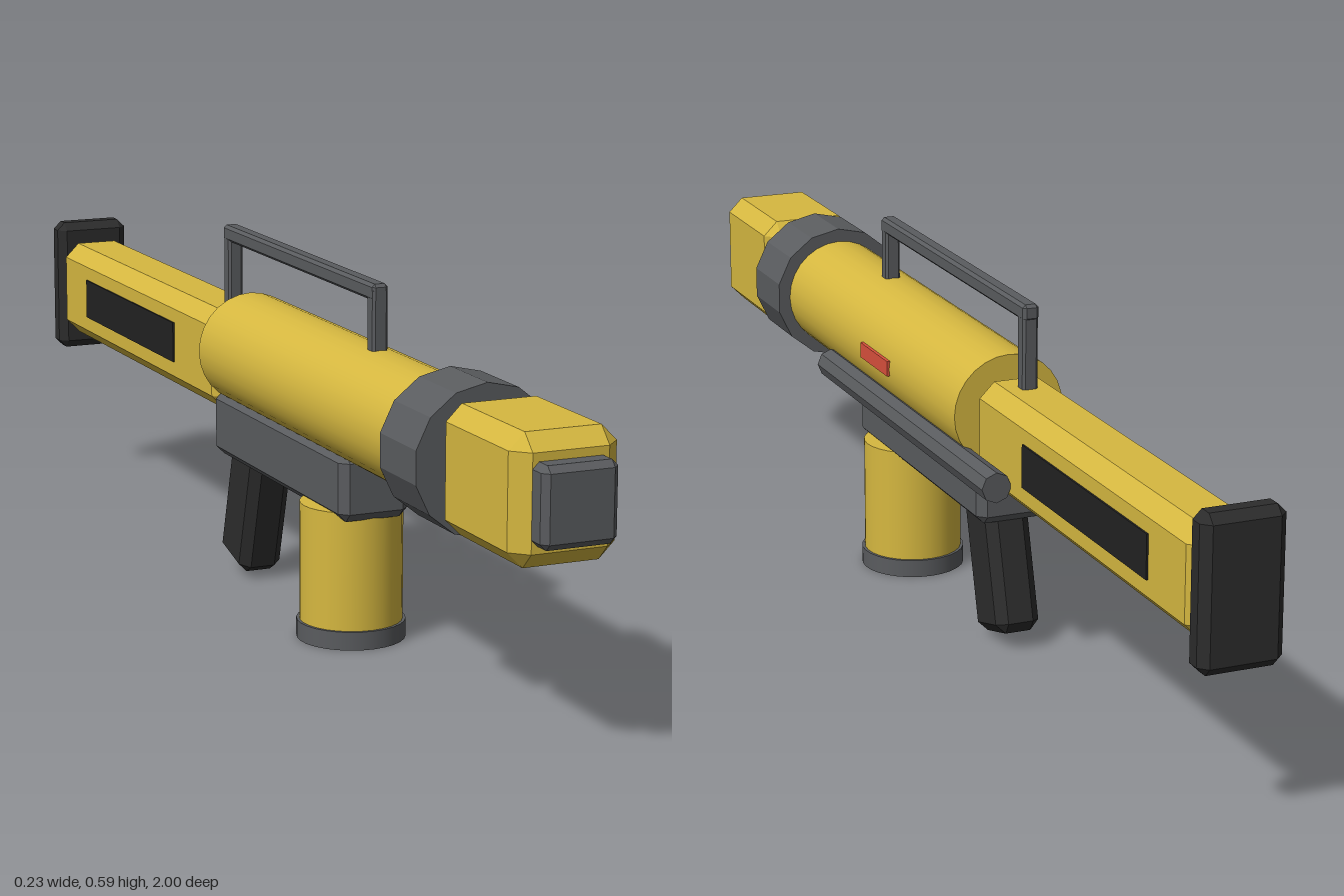
import * as THREE from 'three';
import { ConvexGeometry } from 'three/addons/geometries/ConvexGeometry.js';

const material = (color, flatShading = false) =>
  new THREE.MeshStandardMaterial({ color, flatShading });

const YELLOW = 0xd6b840, GREY = 0x5a5c5f, BLACK = 0x2c2c2c, PANEL = 0x222222, RED = 0xd9503c;

// Box with every edge cut by a flat chamfer c
function chamferBox(w, h, d, c) {
  const half = [w / 2, h / 2, d / 2], points = [];
  for (let axis = 0; axis < 3; axis++)
    for (const sx of [-1, 1]) for (const sy of [-1, 1]) for (const sz of [-1, 1]) {
      const p = [sx, sy, sz].map((s, i) => s * (half[i] - (i === axis ? 0 : c)));
      points.push(new THREE.Vector3(...p));
    }
  return new ConvexGeometry(points);
}

export function createModel() {
  const model = new THREE.Group();
  model.name = 'launcher';

  const add = (name, geometry, color, flat, x, y, z) => {
    const mesh = new THREE.Mesh(geometry, material(color, flat));
    mesh.name = name;
    mesh.position.set(x, y, z);
    model.add(mesh);
    return mesh;
  };

  // Chamfered block given by its ranges in y and z
  const block = (name, color, w, y0, y1, z0, z1, c) =>
    add(name, chamferBox(w, y1 - y0, z1 - z0, c), color, true, 0, (y0 + y1) / 2, (z0 + z1) / 2);

  // Cylinder lying along z
  const barrel = (name, color, r, sides, flat, x, y, z0, z1) => {
    const geometry = new THREE.CylinderGeometry(r, r, z1 - z0, sides).rotateX(Math.PI / 2);
    return add(name, geometry, color, flat, x, y, (z0 + z1) / 2);
  };

  // Main tube, collar and muzzle
  barrel('mainTube', YELLOW, 0.094, 28, false, 0, 0.394, -0.18, 0.65);
  barrel('collar', GREY, 0.117, 14, true, 0, 0.394, 0.585, 0.708);
  block('muzzleBlock', YELLOW, 0.17, 0.298, 0.493, 0.72, 0.965, 0.025);
  block('muzzleTip', GREY, 0.12, 0.334, 0.455, 0.92, 1, 0.01);

  // Stock with side panels and butt plate
  block('stock', YELLOW, 0.122, 0.284, 0.454, -0.96, -0.18, 0.025);
  for (const side of [-1, 1])
    add(side > 0 ? 'leftStockPanel' : 'rightStockPanel',
      new THREE.BoxGeometry(0.012, 0.07, 0.44), PANEL, true, side * 0.058, 0.37, -0.597);
  block('buttPlate', BLACK, 0.134, 0.25, 0.49, -1, -0.95, 0.014);

  // Receiver and slanted grip
  block('receiver', GREY, 0.12, 0.212, 0.322, -0.202, 0.33, 0.014);
  const grip = add('grip', chamferBox(0.075, 0.24, 0.108, 0.016), BLACK, true, 0, 0.136, -0.153);
  grip.rotation.x = 0.27;

  // Canister magazine
  add('magazine', new THREE.CylinderGeometry(0.083, 0.083, 0.205, 28), YELLOW, false, 0, 0.121, 0.235);
  add('magazineBase', new THREE.CylinderGeometry(0.088, 0.088, 0.03, 28), GREY, false, 0, 0.015, 0.235);

  // Carrying handle
  block('handleBar', GREY, 0.027, 0.565, 0.592, -0.268, 0.342, 0.005);
  block('frontHandlePost', GREY, 0.026, 0.47, 0.585, 0.317, 0.342, 0.004);
  block('rearHandlePost', GREY, 0.026, 0.44, 0.585, -0.266, -0.241, 0.004);

  // Side rod and marker, on one side only
  barrel('sideRod', GREY, 0.025, 8, true, 0.084, 0.321, -0.327, 0.405);
  add('sideMarker', new THREE.BoxGeometry(0.02, 0.026, 0.122), RED, true, 0.088, 0.396, 0.163);

  return model;
}
